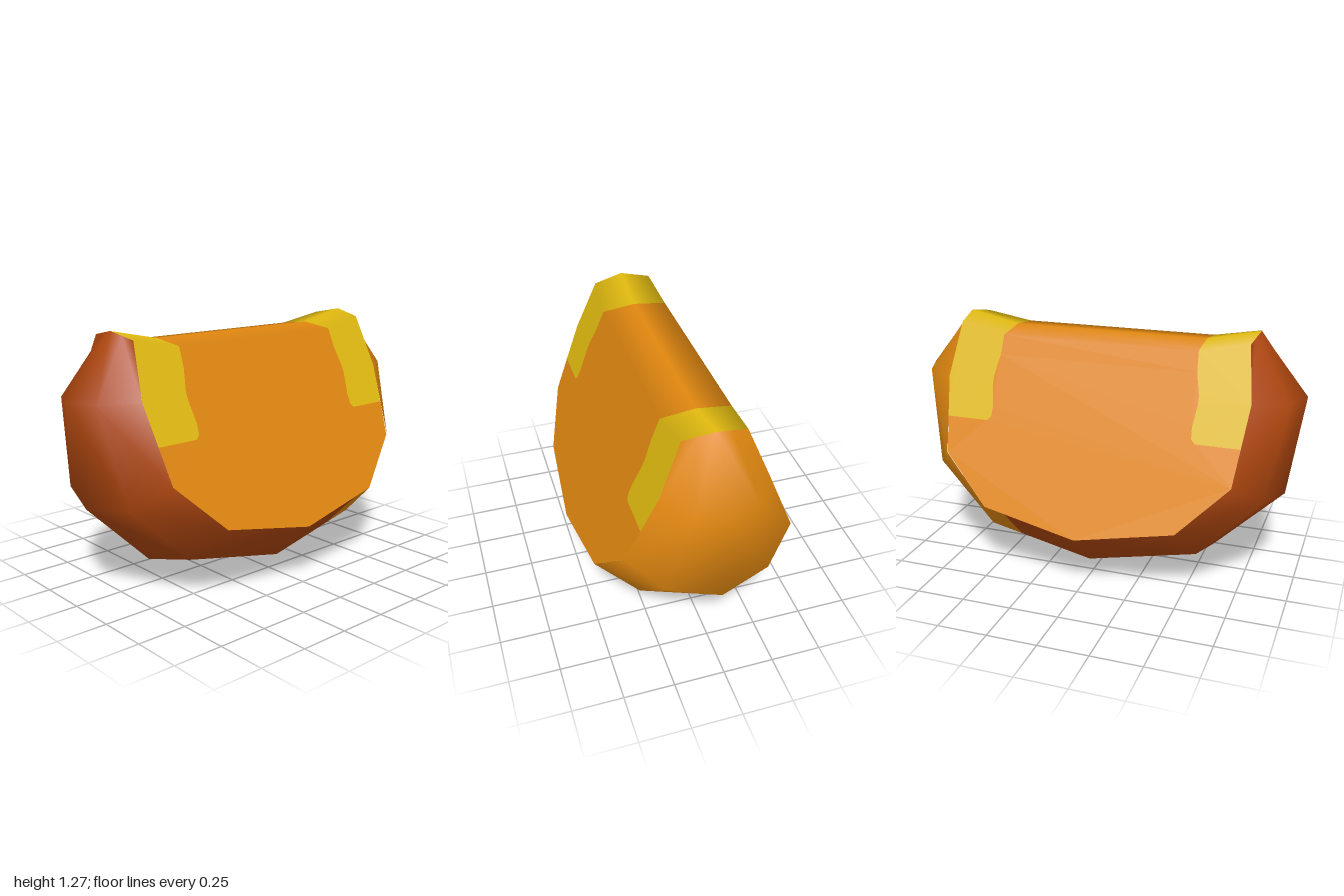
import * as THREE from 'three';

// Flesh sides lie on a sloping plane: depth as a function of height
const fleshZ = y => 0.535 - 0.41 * (y - 0.3);

function paint(name, color) {
  const m = new THREE.MeshStandardMaterial({ color });
  m.name = name;
  return m;
}

// Flat flesh panel drawn in x/y and laid onto the sloping plane
function panel(points) {
  const g = new THREE.ShapeGeometry(new THREE.Shape(points.map(p => new THREE.Vector2(p[0], p[1]))));
  const pos = g.attributes.position;
  for (let i = 0; i < pos.count; i++) pos.setZ(i, fleshZ(pos.getY(i)));
  g.computeVertexNormals();
  return g;
}

// Rounded top strip between two ends, each [xSide, ySide, xMid, yMid]
function ridge(a, b) {
  const pos = [], nor = [];
  for (const [xs, ys, xm, ym] of [a, b]) {
    const z = fleshZ(ys);
    pos.push(xs, ys, z, xm, ym, 0, xs, ys, -z);
    nor.push(0, 0.38, 0.925, 0, 1, 0, 0, 0.38, -0.925);
  }
  const g = new THREE.BufferGeometry();
  g.setAttribute('position', new THREE.Float32BufferAttribute(pos, 3));
  g.setAttribute('normal', new THREE.Float32BufferAttribute(nor, 3));
  g.setIndex([0, 3, 1, 1, 3, 4, 1, 4, 2, 2, 4, 5]);
  return g;
}

// Outer skin: lofted stations, each [rim, middle, centre line], smooth shaded
function skin() {
  const half = [
    [[0, 0.3, 0.535], [0, 0.09, 0.31], [0, 0, 0]],
    [[0.49, 0.39, 0.498], [0.55, 0.2, 0.29], [0.58, 0.125, 0]],
    [[0.73, 0.62, 0.408], [0.855, 0.5, 0.25], [0.925, 0.46, 0]],
    [[0.775, 0.98, 0.256], [0.94, 0.97, 0.15], [1, 0.97, 0]],
    [[0.74, 1.24, 0.15], [0.75, 1.255, 0.075], [0.76, 1.27, 0]],
  ];
  // extra station where the colour changes
  const split = half[0].map((p, j) => {
    const q = half[1][j], t = 0.38 / q[0];
    return p.map((v, k) => v + (q[k] - v) * t);
  });
  const mirrored = half.slice(1).reverse().map(s => s.map(([x, y, z]) => [-x, y, z]));
  const stations = [...mirrored, half[0], split, ...half.slice(1)];
  const pos = [], idx = [];
  for (const [r, m, c] of stations) {
    for (const p of [r, m, c]) pos.push(...p);
    for (const p of [m, r]) pos.push(p[0], p[1], -p[2]);
  }
  for (let s = 0; s < stations.length - 1; s++) {
    for (let j = 0; j < 4; j++) {
      const a = s * 5 + j, b = a + 5, c = a + 1, d = b + 1;
      if ((s < 4) === (j < 2)) idx.push(a, c, b, b, c, d);
      else idx.push(a, d, b, a, c, d);
    }
  }
  const g = new THREE.BufferGeometry();
  g.setAttribute('position', new THREE.Float32BufferAttribute(pos, 3));
  g.setIndex(idx);
  g.computeVertexNormals();
  // first five spans are dark rind, the rest bright
  g.addGroup(0, 5 * 24, 0);
  g.addGroup(5 * 24, idx.length - 5 * 24, 1);
  return g;
}

export function createModel() {
  const model = new THREE.Group();
  model.name = 'fruitWedge';
  const orange = paint('orange', 0xe28810);
  const rust = paint('rust', 0xb0470f);
  const yellow = paint('yellow', 0xe2bb10);

  const add = (name, geometry, material) => {
    const mesh = new THREE.Mesh(geometry, material);
    mesh.name = name;
    model.add(mesh);
  };
  const flip = pts => pts.map(([x, y]) => [-x, y]);

  add('skin', skin(), [rust, orange]);

  // wavy border between the flesh and the pale end patches, bottom to top
  const border = [[0.7525, 0.79], [0.535, 0.79], [0.515, 0.81], [0.512, 0.86], [0.527, 0.96],
    [0.527, 1.0], [0.505, 1.1], [0.5, 1.195]];
  const side = [[0.49, 0.39], [0.73, 0.62], ...border];
  const flesh = [[0, 0.3], ...side, ...flip(side).reverse()];
  const patch = [...border, [0.74, 1.24], [0.775, 0.98]];

  // front and back sides of the wedge
  for (const [label, turn] of [['front', 0], ['back', Math.PI]]) {
    add(label + 'Flesh', panel(flesh).rotateY(turn), orange);
    add(label + 'PatchA', panel(patch).rotateY(turn), yellow);
    add(label + 'PatchB', panel(flip(patch)).rotateY(turn), yellow);
  }

  // top edge and its raised tips
  const innerL = [0.5, 1.195, 0.5, 1.215], innerR = [-0.5, 1.195, -0.5, 1.215];
  add('topEdge', ridge(innerR, innerL), orange);
  add('leftTip', ridge(innerL, [0.74, 1.24, 0.76, 1.27]), yellow);
  add('rightTip', ridge([-0.74, 1.24, -0.76, 1.27], innerR), yellow);
  return model;
}
